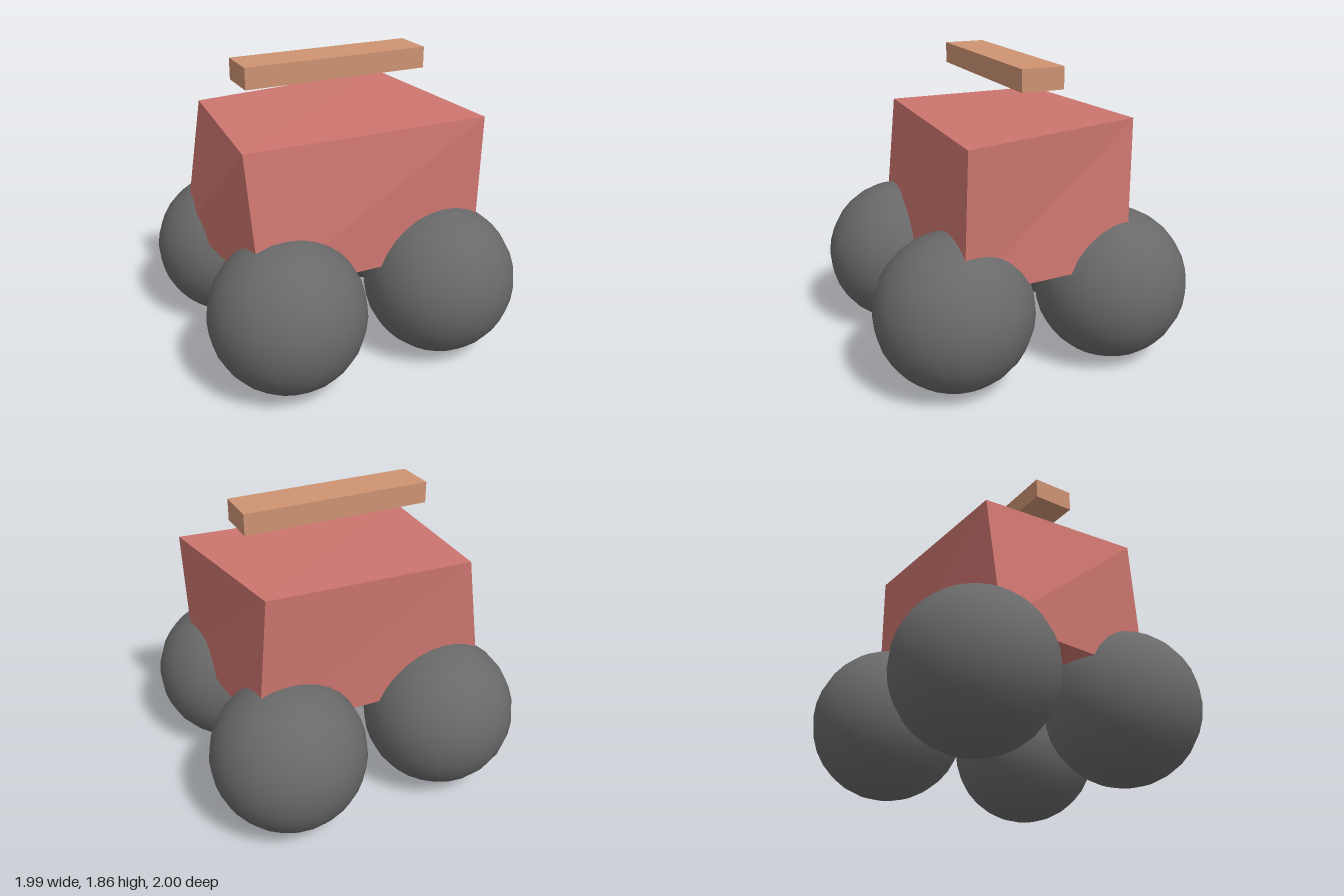
import * as THREE from 'three';

export function createModel() {
  const group = new THREE.Group();
  const red = new THREE.MeshStandardMaterial({ color: 0xcd756f });
  red.name = 'dusty red';
  const tan = new THREE.MeshStandardMaterial({ color: 0xcd9372 });
  tan.name = 'tan';
  const grey = new THREE.MeshStandardMaterial({ color: 0x696969 });
  grey.name = 'dark grey';

  const add = (name, geometry, material, x = 0, y = 0, z = 0) => {
    const mesh = new THREE.Mesh(geometry, material);
    mesh.name = name;
    mesh.position.set(x, y, z);
    group.add(mesh);
  };

  // Body: a box whose eight corners are nudged, keyed by the signs of x, y, z
  const corners = {
    '1,1,1': [0.785, 1.505, 0.53],
    '-1,1,1': [-0.735, 1.485, 0.46],
    '1,1,-1': [0.64, 1.545, -0.56],
    '-1,1,-1': [-0.66, 1.5, -0.55],
    '1,-1,1': [0.755, 0.66, 0.55],
    '-1,-1,1': [-0.695, 0.66, 0.56],
    '1,-1,-1': [0.7, 0.67, -0.525],
    '-1,-1,-1': [-0.8, 0.66, -0.535],
  };
  const body = new THREE.BoxGeometry(2, 2, 2);
  const pos = body.attributes.position;
  for (let i = 0; i < pos.count; i++) {
    pos.setXYZ(i, ...corners[[pos.getX(i), pos.getY(i), pos.getZ(i)].join(',')]);
  }
  const flatBody = body.toNonIndexed();
  flatBody.computeVertexNormals();
  add('body', flatBody, red);

  // Floating roof slab
  add('roofSlab', new THREE.BoxGeometry(1.17, 0.13, 0.26), tan, 0, 1.8, 0);

  // Four ball wheels
  const ball = new THREE.SphereGeometry(0.475, 24, 16);
  for (const [sx, side] of [[1, 'Left'], [-1, 'Right']]) {
    for (const [sz, end] of [[1, 'front'], [-1, 'back']]) {
      add(`${end}${side}Wheel`, ball, grey, sx * 0.52, 0.477, sz * 0.523);
    }
  }
  return group;
}
